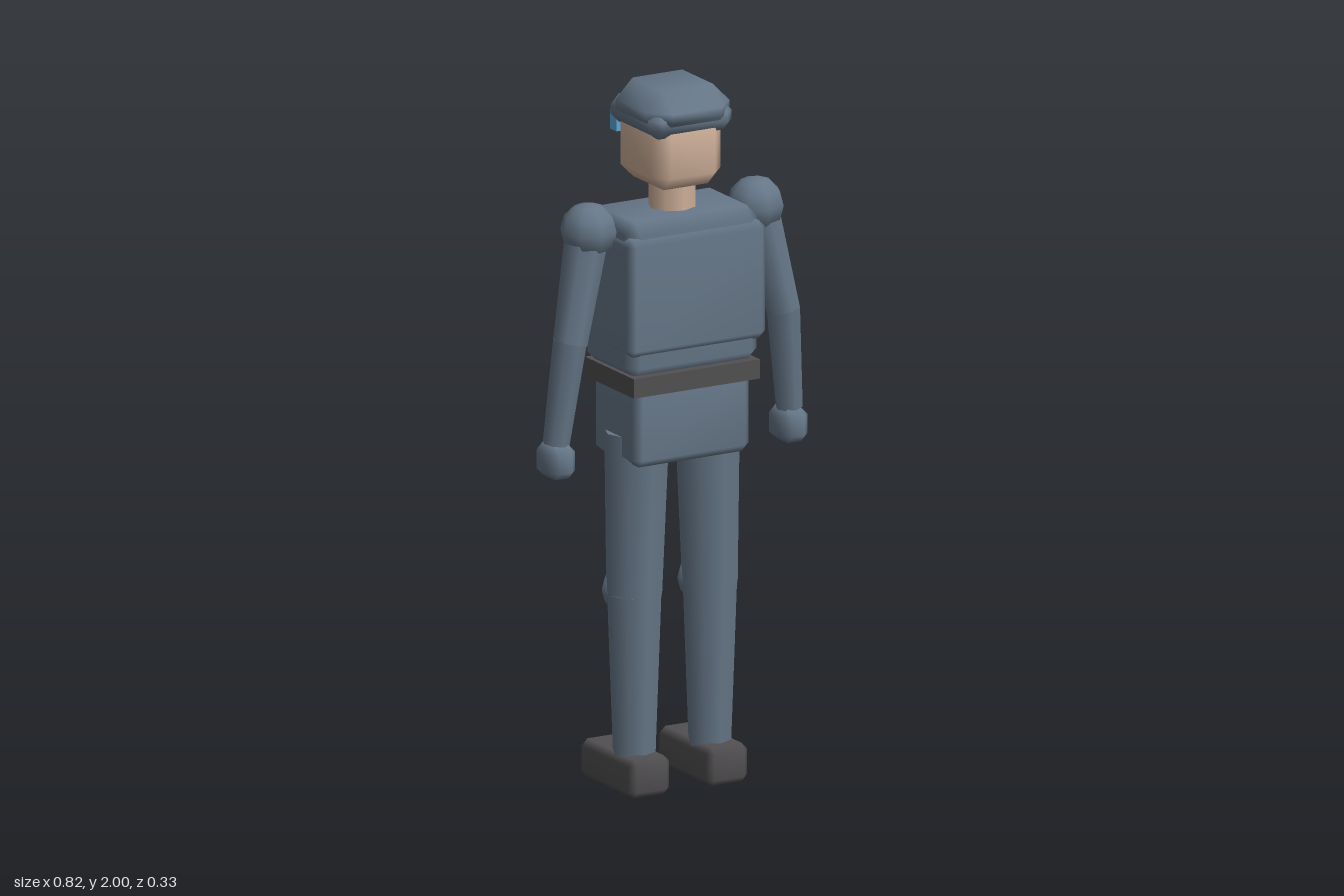
import * as THREE from 'three';
import { ConvexGeometry } from 'three/addons/geometries/ConvexGeometry.js';
import { mergeVertices } from 'three/addons/utils/BufferGeometryUtils.js';

const MID_Z = 0.018; // depth of the body's centre line

// Box with one 45 degree cut on every edge, softly shaded.
function chamferBox(w, h, d, c) {
  const points = [];
  for (const sx of [-1, 1]) for (const sy of [-1, 1]) for (const sz of [-1, 1]) {
    const x = w / 2, y = h / 2, z = d / 2;
    points.push(
      new THREE.Vector3(sx * x, sy * (y - c), sz * (z - c)),
      new THREE.Vector3(sx * (x - c), sy * y, sz * (z - c)),
      new THREE.Vector3(sx * (x - c), sy * (y - c), sz * z));
  }
  let geometry = new ConvexGeometry(points);
  geometry.deleteAttribute('normal');
  geometry = mergeVertices(geometry, 1e-4);
  geometry.computeVertexNormals();
  return geometry;
}

export function createModel() {
  const model = new THREE.Group();
  model.name = 'uniformedFigure';

  const material = (name, color) => {
    const m = new THREE.MeshStandardMaterial({ color });
    m.name = name;
    return m;
  };
  const uniform = material('uniformBlueGrey', 0x667788);
  const skin = material('skin', 0xcfb09a);
  const leather = material('darkLeather', 0x525052);
  const glass = material('visorBlue', 0x5aa9d6);

  const add = (name, geometry, mat, x, y, z) => {
    const mesh = new THREE.Mesh(geometry, mat);
    mesh.name = name;
    mesh.position.set(x, y, z);
    model.add(mesh);
    return mesh;
  };

  // Chamfered block given by its lower and upper limits; c = 0 keeps sharp edges.
  const block = (name, mat, [x0, x1], [y0, y1], [z0, z1], c) => {
    const size = [x1 - x0, y1 - y0, z1 - z0];
    const geometry = c ? chamferBox(...size, c) : new THREE.BoxGeometry(...size);
    return add(name, geometry, mat, (x0 + x1) / 2, (y0 + y1) / 2, (z0 + z1) / 2);
  };

  // Tapered limb running from point a (radius ra) down to point b (radius rb).
  const limb = (name, a, b, ra, rb) => {
    const top = new THREE.Vector3(...a), bottom = new THREE.Vector3(...b);
    const axis = top.clone().sub(bottom);
    const mid = top.clone().add(bottom).multiplyScalar(0.5);
    const mesh = add(name, new THREE.CylinderGeometry(ra, rb, axis.length(), 8), uniform, mid.x, mid.y, mid.z);
    mesh.quaternion.setFromUnitVectors(new THREE.Vector3(0, 1, 0), axis.normalize());
    return mesh;
  };

  // Trunk
  block('torso', uniform, [-0.21, 0.21], [1.2, 1.645], [-0.113, 0.15], 0.033);
  block('vest', uniform, [-0.22, 0.22], [1.27, 1.605], [-0.13, 0.167], 0.02);
  block('belt', leather, [-0.2, 0.2], [1.155, 1.21], [-0.112, 0.153], 0);
  block('pelvis', uniform, [-0.185, 0.185], [0.945, 1.19], [-0.1, 0.138], 0.022);

  // Head, visor and cap
  add('neck', new THREE.CylinderGeometry(0.066, 0.066, 0.13, 8), skin, 0, 1.685, MID_Z);
  block('head', skin, [-0.11, 0.11], [1.715, 1.94], [-0.113, 0.132], 0.04);
  block('visor', glass, [-0.11, 0.11], [1.842, 1.898], [-0.13, -0.096], 0);
  block('capCrown', uniform, [-0.133, 0.133], [1.865, 2.0], [-0.115, 0.157], 0.054);
  block('capBand', uniform, [-0.129, 0.129], [1.87, 1.95], [-0.12, 0.145], 0.026);

  for (const [side, s] of [['left', 1], ['right', -1]]) {
    const part = (name) => side + name;
    const spanX = (a, b) => (s > 0 ? [a, b] : [-b, -a]);

    // Arm
    add(part('Shoulder'), new THREE.SphereGeometry(0.08, 8, 6), uniform, s * 0.265, 1.61, MID_Z);
    limb(part('UpperArm'), [s * 0.27, 1.6, MID_Z], [s * 0.338, 1.305, 0.043], 0.062, 0.049);
    limb(part('Forearm'), [s * 0.338, 1.315, 0.043], [s * 0.37, 1.02, 0.022], 0.048, 0.038);
    block(part('Hand'), uniform, spanX(0.328, 0.41), [0.925, 1.02], [-0.036, 0.072], 0.02);

    // Leg
    limb(part('Thigh'), [s * 0.112, 1.02, MID_Z], [s * 0.12, 0.56, MID_Z], 0.092, 0.079);
    limb(part('Shin'), [s * 0.12, 0.56, MID_Z], [s * 0.12, 0.09, MID_Z], 0.077, 0.06);
    const knee = add(part('KneePad'), new THREE.SphereGeometry(0.065, 8, 6), uniform, s * 0.12, 0.56, -0.035);
    knee.scale.set(1.1, 1, 0.74);
    block(part('Shoe'), leather, spanX(0.058, 0.189), [0, 0.11], [-0.167, 0.12], 0.018);
  }

  return model;
}
